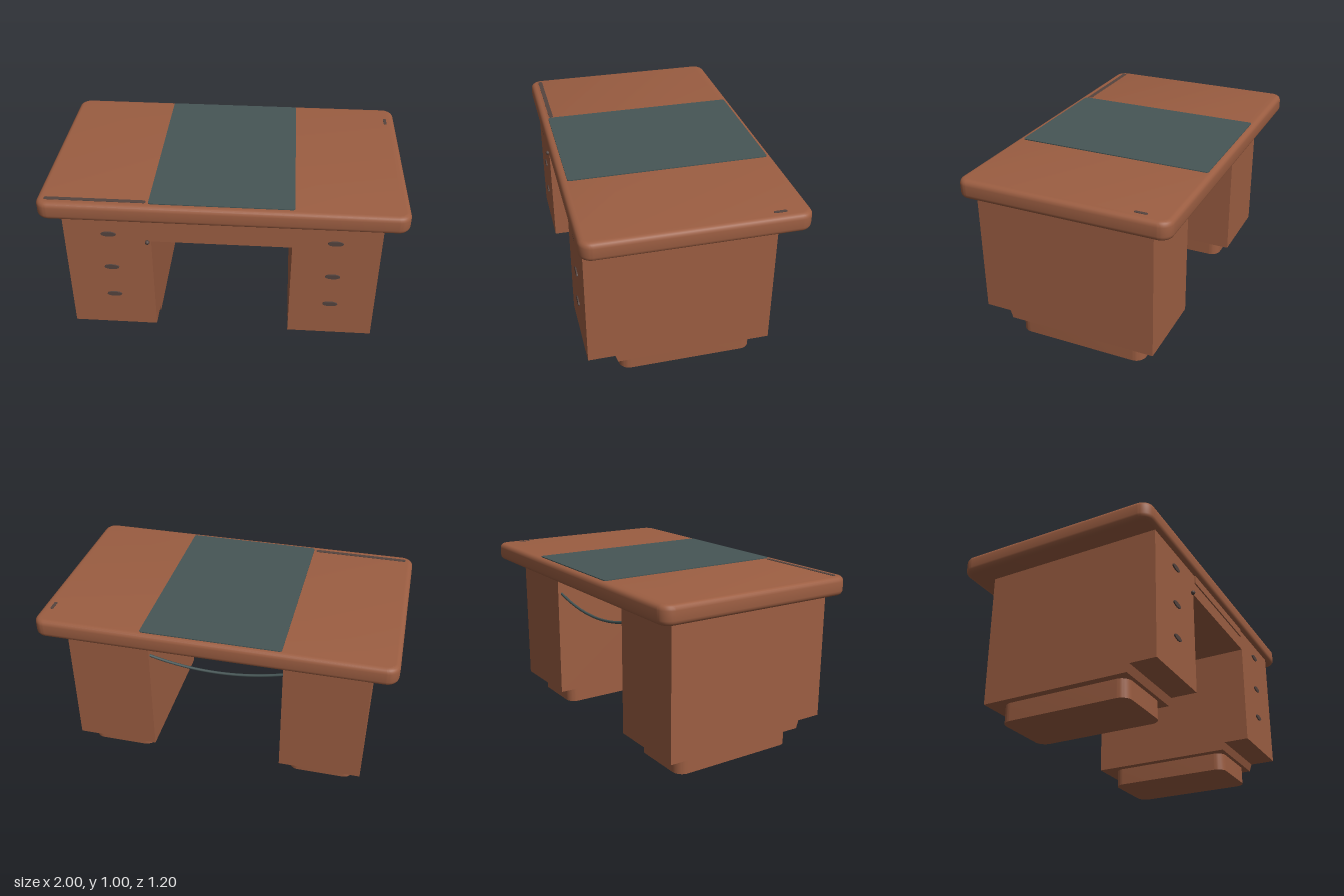
import * as THREE from 'three';
import { toCreasedNormals } from 'three/addons/utils/BufferGeometryUtils.js';

const mat = (name, color) => {
  const m = new THREE.MeshStandardMaterial({ color });
  m.name = name;
  return m;
};

// Horizontal slab with rounded plan corners and optional rounded edges
function slab(w, d, h, radius, bevel = 0) {
  const x = w / 2 - bevel, z = d / 2 - bevel, r = radius;
  const s = new THREE.Shape();
  s.moveTo(-x + r, -z);
  s.lineTo(x - r, -z);
  s.absarc(x - r, -z + r, r, -Math.PI / 2, 0);
  s.lineTo(x, z - r);
  s.absarc(x - r, z - r, r, 0, Math.PI / 2);
  s.lineTo(-x + r, z);
  s.absarc(-x + r, z - r, r, Math.PI / 2, Math.PI);
  s.lineTo(-x, -z + r);
  s.absarc(-x + r, -z + r, r, Math.PI, Math.PI * 1.5);
  const g = new THREE.ExtrudeGeometry(s, {
    depth: h - 2 * bevel, curveSegments: 6,
    bevelEnabled: bevel > 0, bevelSize: bevel, bevelThickness: bevel, bevelSegments: 4,
  });
  g.translate(0, 0, bevel);
  g.rotateX(-Math.PI / 2);
  return toCreasedNormals(g, 0.7);
}

export function createModel() {
  const wood = mat('wood', 0x9c5e42);
  const leather = mat('leather', 0x465656);
  const metal = mat('handle metal', 0x54443f);
  const desk = new THREE.Group();
  desk.name = 'desk';

  const add = (name, geometry, material, x, y, z, parent = desk) => {
    const m = new THREE.Mesh(geometry, material);
    m.name = name;
    m.position.set(x, y, z);
    parent.add(m);
    return m;
  };

  // Thick rounded top with its writing mat
  add('deskTop', slab(2, 1.2, 0.105, 0.04, 0.028), wood, 0, 0.895, 0);
  add('writingMat', slab(0.78, 1.13, 0.006, 0.015), leather, 0, 0.999, -0.005);
  add('edgeInlay', slab(0.55, 0.025, 0.004, 0.01), metal, -0.68, 0.998, 0.54);
  add('sideInlay', slab(0.018, 0.07, 0.004, 0.008), metal, 0.94, 0.998, -0.43);

  // Dark lining beneath the top, behind the centre drawer
  add('underLining', new THREE.BoxGeometry(0.77, 0.006, 0.36), leather, 0, 0.893, -0.285);

  // Centre drawer with a thin lip
  add('centreDrawer', new THREE.BoxGeometry(0.79, 0.14, 0.68), wood, 0, 0.83, 0.23);
  add('drawerLip', new THREE.BoxGeometry(0.72, 0.05, 0.012), wood, 0, 0.868, 0.572);

  // Side profile of a pedestal, stepped above the toe space
  const profile = new THREE.Shape([
    [0.465, 0.105], [0.465, 0.9], [-0.57, 0.9], [-0.57, 0.15], [-0.42, 0.15], [-0.405, 0.105],
  ].map(([a, b]) => new THREE.Vector2(a, b)));
  const body = new THREE.ExtrudeGeometry(profile, { depth: 0.48, bevelEnabled: false });
  body.translate(0, 0, -0.24);
  body.rotateY(Math.PI / 2);

  const plate = new THREE.CylinderGeometry(1, 1, 0.008, 16);
  plate.rotateX(Math.PI / 2);
  plate.scale(0.042, 0.015, 1);

  for (const side of [-1, 1]) {
    const pedestal = new THREE.Group();
    pedestal.name = side > 0 ? 'leftPedestal' : 'rightPedestal';
    pedestal.position.x = side * 0.625;
    desk.add(pedestal);
    add('cabinet', body, wood, 0, 0, 0, pedestal);
    add('plinth', slab(0.39, 0.765, 0.11, 0.06), wood, 0, 0, 0, pedestal);
    for (const y of [0.8, 0.57, 0.37]) {
      add('drawerPull', plate, metal, -side * 0.008, y, 0.573, pedestal);
    }
  }

  // Small knob by the drawer corner
  add('knob', new THREE.SphereGeometry(0.013, 10, 8), metal, -0.405, 0.757, 0.578);

  // Cord sagging between the pedestals at the back
  const cord = new THREE.QuadraticBezierCurve3(
    new THREE.Vector3(-0.39, 0.755, -0.44),
    new THREE.Vector3(0, 0.645, -0.44),
    new THREE.Vector3(0.39, 0.755, -0.44),
  );
  add('cord', new THREE.TubeGeometry(cord, 24, 0.008, 8), leather, 0, 0, 0);
  return desk;
}
